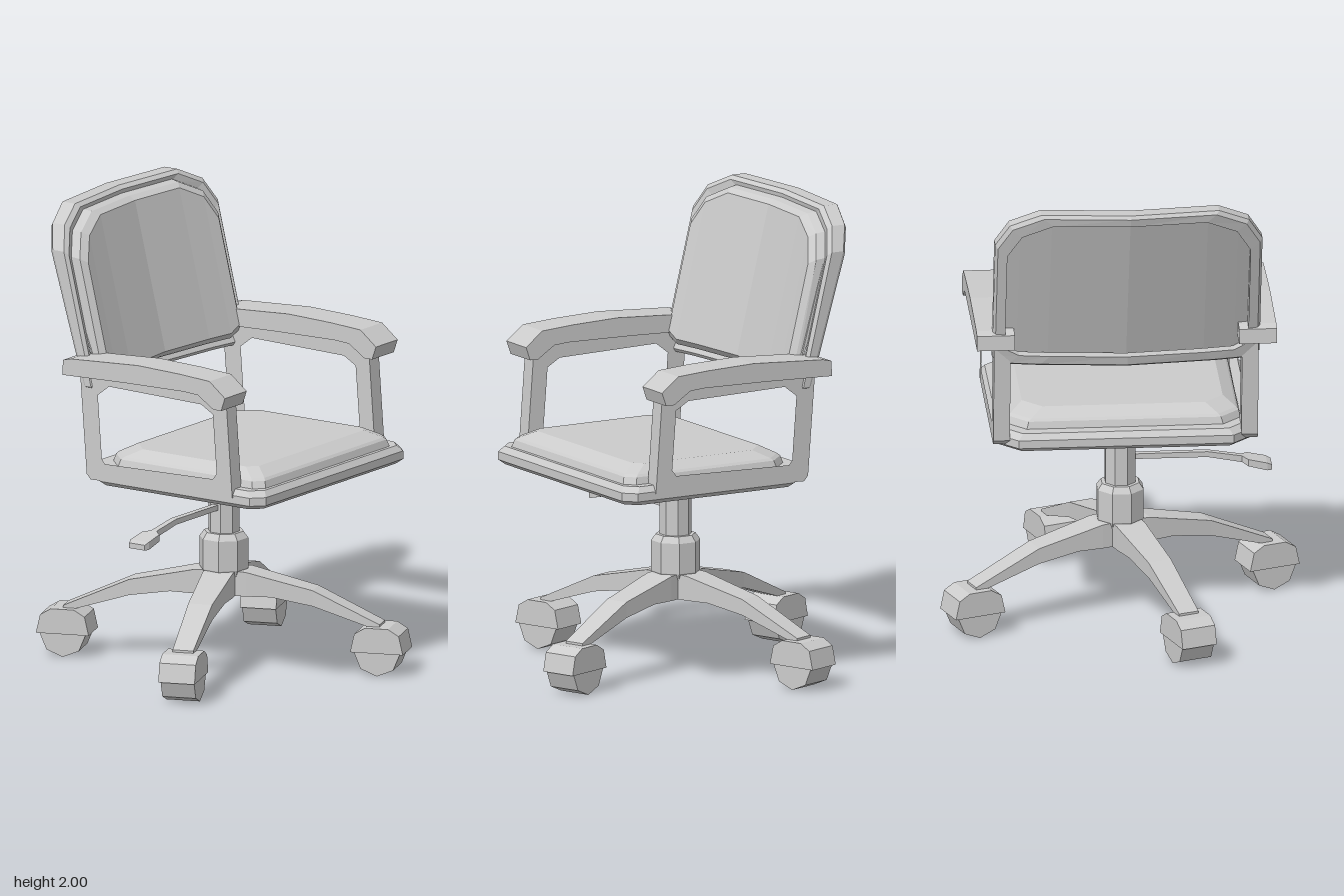
import * as THREE from 'three';

const mat = new THREE.MeshStandardMaterial({ color: 0xcccccc, flatShading: true });

function add(parent, name, geo) {
  const m = new THREE.Mesh(geo, mat);
  m.name = name;
  parent.add(m);
}

// Skin a list of rings; rings run counter-clockwise seen from the end they advance to.
// Caps are strips joining point j to point n-1-j.
function loft(rings, capped = true) {
  const pos = [];
  const quad = (a, b, c, d) => [a, b, c, a, c, d].forEach(v => pos.push(...v));
  const n = rings[0].length;
  for (let i = 0; i < rings.length - 1; i++) {
    for (let j = 0; j < n; j++) {
      const k = (j + 1) % n, a = rings[i], b = rings[i + 1];
      quad(a[j], a[k], b[k], b[j]);
    }
  }
  if (capped) {
    const first = rings[0], last = rings[rings.length - 1];
    for (let j = 0; j < n / 2 - 1; j++) {
      quad(first[j], first[n - 1 - j], first[n - 2 - j], first[j + 1]);
      quad(last[j], last[j + 1], last[n - 2 - j], last[n - 1 - j]);
    }
  }
  const g = new THREE.BufferGeometry();
  g.setAttribute('position', new THREE.Float32BufferAttribute(pos, 3));
  g.computeVertexNormals();
  return g;
}

// Horizontal rectangle with cut corners, cut more at the back
const seatRing = ([y, w, back, front, c]) => [
  [w, y, front - c], [w, y, back + 2 * c], [w - 2 * c, y, back], [2 * c - w, y, back],
  [-w, y, back + 2 * c], [-w, y, front - c], [c - w, y, front], [w - c, y, front],
];

// Upright rectangle across the x axis
const barRing = ([x, b, t, w]) => [[x, b, -w], [x, t, -w], [x, t, w], [x, b, w]];

// Backrest outline, bent around the sitter and leaning back;
// d is depth from its front, tilt an extra lean
function backRing([d, w, y0, y1, tilt = 0]) {
  const mirror = half => [...half.map(([x, y]) => [-x, y]).reverse(), half];
  const bottom = [[w - 0.19, y0], [w - 0.06, y0], [w, y0 + 0.03]];
  const top = [[w, y1 - 0.16], [w - 0.06, y1 - 0.06], [w - 0.19, y1]];
  const flip = a => a.map(([x, y]) => [-x, y]).reverse();
  return [...flip(bottom), [0, y0], ...bottom, ...top, [0, y1], ...flip(top)].map(([x, y]) => [
    x, y, d - 0.30 - (0.246 + tilt) * (y - 1.3) + 0.04 * Math.abs(x) + 0.16 * x * x,
  ]);
}

// Side profile given as (z, y), extruded from x0 to x1
function sideExtrude(outline, hole, x0, x1) {
  const pts = a => a.map(([z, y]) => new THREE.Vector2(-z, y));
  const s = new THREE.Shape(pts(outline));
  if (hole) s.holes.push(new THREE.Path(pts(hole)));
  const g = new THREE.ExtrudeGeometry(s, { depth: x1 - x0, bevelEnabled: false });
  return g.rotateY(Math.PI / 2).translate(x0, 0, 0);
}

// Profile in the xy plane, extruded to a width centred on z = 0
function centredExtrude(points, width) {
  const s = new THREE.Shape(points.map(p => new THREE.Vector2(...p)));
  return new THREE.ExtrudeGeometry(s, { depth: width, bevelEnabled: false }).translate(0, 0, -width / 2);
}

export function createModel() {
  const chair = new THREE.Group();
  chair.name = 'officeChair';

  // Four-legged base with casters
  for (let i = 0; i < 4; i++) {
    const leg = new THREE.Group();
    leg.name = 'baseLeg';
    leg.rotation.y = THREE.MathUtils.degToRad(20.5 + 90 * i);
    add(leg, 'legArm', loft([
      [0.0, 0.31, 0.42, 0.065], [0.11, 0.31, 0.415, 0.065], [0.22, 0.312, 0.39, 0.06],
      [0.40, 0.282, 0.35, 0.052], [0.69, 0.19, 0.218, 0.045],
    ].map(barRing)));
    const caster = new THREE.Group();
    caster.name = 'caster';
    caster.position.x = 0.685;
    add(caster, 'casterHood', centredExtrude([
      [-0.115, 0.10], [0.115, 0.10], [0.097, 0.18], [0.05, 0.208], [-0.05, 0.208], [-0.097, 0.18],
    ], 0.158));
    const wheel = [];
    for (let k = 0; k < 8; k++) {
      const a = k * Math.PI / 4;
      wheel.push([0.1 * Math.cos(a), 0.1 + 0.1 * Math.sin(a)]);
    }
    add(caster, 'casterWheel', centredExtrude(wheel, 0.146));
    leg.add(caster);
    chair.add(leg);
  }

  // Hub and column
  const profile = [[0, 0.31], [0.065, 0.31], [0.105, 0.42], [0.105, 0.55], [0.085, 0.577],
    [0.068, 0.577], [0.068, 0.88]].map(p => new THREE.Vector2(...p));
  add(chair, 'hubAndColumn', new THREE.LatheGeometry(profile, 8, Math.PI / 8));

  // Height lever with paddle
  add(chair, 'heightLever', loft([
    [-0.64, 0.622, 0.645, 0.04], [-0.62, 0.622, 0.655, 0.047], [-0.54, 0.642, 0.672, 0.045],
    [-0.515, 0.65, 0.678, 0.014], [-0.37, 0.677, 0.701, 0.014], [-0.04, 0.677, 0.7, 0.014],
  ].map(barRing)));

  // Seat pan with a recessed underside, and its cushion
  add(chair, 'seatPan', loft([
    [0.868, 0.465, -0.27, 0.48, 0.045], [0.845, 0.475, -0.28, 0.49, 0.045],
    [0.845, 0.53, -0.325, 0.545, 0.045], [0.865, 0.555, -0.35, 0.57, 0.05],
    [0.9, 0.555, -0.35, 0.57, 0.05], [0.925, 0.535, -0.33, 0.55, 0.05],
  ].map(seatRing)));
  add(chair, 'seatCushion', loft([
    [0.92, 0.497, -0.28, 0.535, 0.04], [0.955, 0.487, -0.27, 0.525, 0.04],
    [0.965, 0.477, -0.26, 0.515, 0.04], [0.997, 0.425, -0.2, 0.45, 0.04],
  ].map(seatRing)));

  // Backrest frame (a closed ring) and padded panel
  const rim = [
    [-0.115, 0.555, 1.25, 1.985, 0.05], [-0.1, 0.566, 1.24, 2.0, 0.05], [-0.07, 0.566, 1.24, 2.0],
    [-0.055, 0.55, 1.255, 1.985], [-0.065, 0.515, 1.29, 1.96], [-0.115, 0.515, 1.29, 1.95, 0.05],
  ];
  add(chair, 'backrestFrame', loft([...rim, rim[0]].map(backRing), false));
  add(chair, 'backrestCushion', loft([
    [-0.045, 0.52, 1.28, 1.965, 0.12], [-0.04, 0.515, 1.28, 1.968, 0.04],
    [-0.025, 0.508, 1.288, 1.962], [0, 0.48, 1.31, 1.945],
  ].map(backRing)));

  // Armrests: looped side frame and top pad
  const outer = [[0.435, 0.89], [0.405, 1.29], [0.30, 1.345], [-0.35, 1.335], [-0.315, 0.89], [-0.295, 0.868]];
  const inner = [[0.355, 0.985], [0.335, 1.24], [0.275, 1.275], [-0.2, 1.285], [-0.258, 1.24],
    [-0.237, 0.965], [-0.222, 0.945], [0.335, 0.958]];
  const pad = [[0.45, 1.34], [0.37, 1.403], [0.22, 1.413], [0.0, 1.42], [-0.345, 1.4], [-0.385, 1.39],
    [-0.388, 1.325], [-0.07, 1.335], [0.24, 1.34], [0.31, 1.335], [0.39, 1.283], [0.43, 1.283]];
  for (const side of [1, -1]) {
    const arm = new THREE.Group();
    arm.name = side > 0 ? 'leftArmrest' : 'rightArmrest';
    const span = (a, b) => (side > 0 ? [a, b] : [-b, -a]);
    add(arm, 'armFrame', sideExtrude(outer, inner, ...span(0.49, 0.56)));
    add(arm, 'armPad', sideExtrude(pad, null, ...span(0.475, 0.635)));
    chair.add(arm);
  }
  return chair;
}
